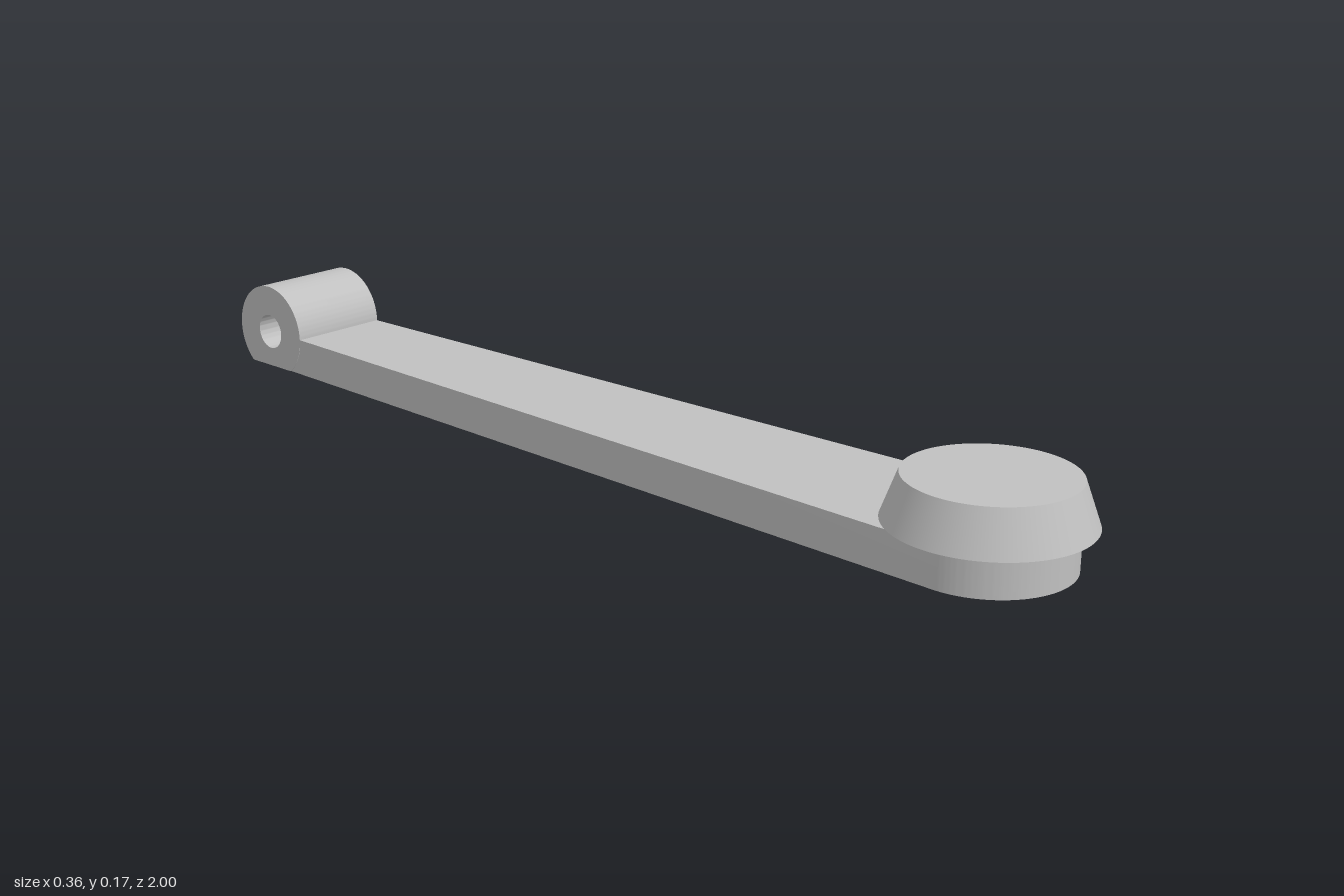
import * as THREE from 'three';
import { toCreasedNormals } from 'three/addons/utils/BufferGeometryUtils.js';

const THICK = 0.075;                            // arm thickness
const CAP_Z = 0.822, END_R = 0.149, RIM_R = 0.178;
const PIVOT_Z = -0.902, PIVOT_R = 0.098, HOLE_R = 0.036, PIVOT_HALF = 0.106;

export function createModel() {
  const model = new THREE.Group();
  model.name = 'leverArm';
  const grey = new THREE.MeshStandardMaterial({ color: 0xc0c0c0 });
  grey.name = 'grey';

  const add = (name, geometry) => {
    const mesh = new THREE.Mesh(geometry, grey);
    mesh.name = name;
    model.add(mesh);
  };
  const extrude = (shape, depth) =>
    new THREE.ExtrudeGeometry(shape, { depth, bevelEnabled: false, curveSegments: 48 });

  // Tapered arm with a round front end, outlined in x and z
  const outline = new THREE.Shape();
  outline.moveTo(-0.104, -0.85);
  outline.lineTo(0.104, -0.85);
  outline.lineTo(END_R, CAP_Z);
  outline.absarc(0, CAP_Z, END_R, 0, Math.PI, false);
  outline.closePath();
  const arm = extrude(outline, THICK);
  arm.rotateX(Math.PI / 2).translate(0, THICK, 0);
  add('arm', toCreasedNormals(arm, 0.5));

  // Conical cap on the round end
  const cap = new THREE.CylinderGeometry(END_R, RIM_R, 0.08, 96);
  cap.translate(0, THICK + 0.04, CAP_Z);
  add('cap', cap);

  // Pivot barrel: a circle cut flat at the base, with a cross hole
  const cut = Math.asin(THICK / PIVOT_R);
  const profile = new THREE.Shape();
  profile.absarc(PIVOT_Z, THICK, PIVOT_R, -cut, Math.PI + cut, false);
  profile.closePath();
  const hole = new THREE.Path();
  hole.absarc(PIVOT_Z, THICK, HOLE_R, 0, Math.PI * 2, true);
  profile.holes.push(hole);
  const barrel = extrude(profile, PIVOT_HALF * 2);
  barrel.rotateY(-Math.PI / 2).translate(PIVOT_HALF, 0, 0);
  add('pivotBarrel', toCreasedNormals(barrel, 0.5));

  return model;
}
